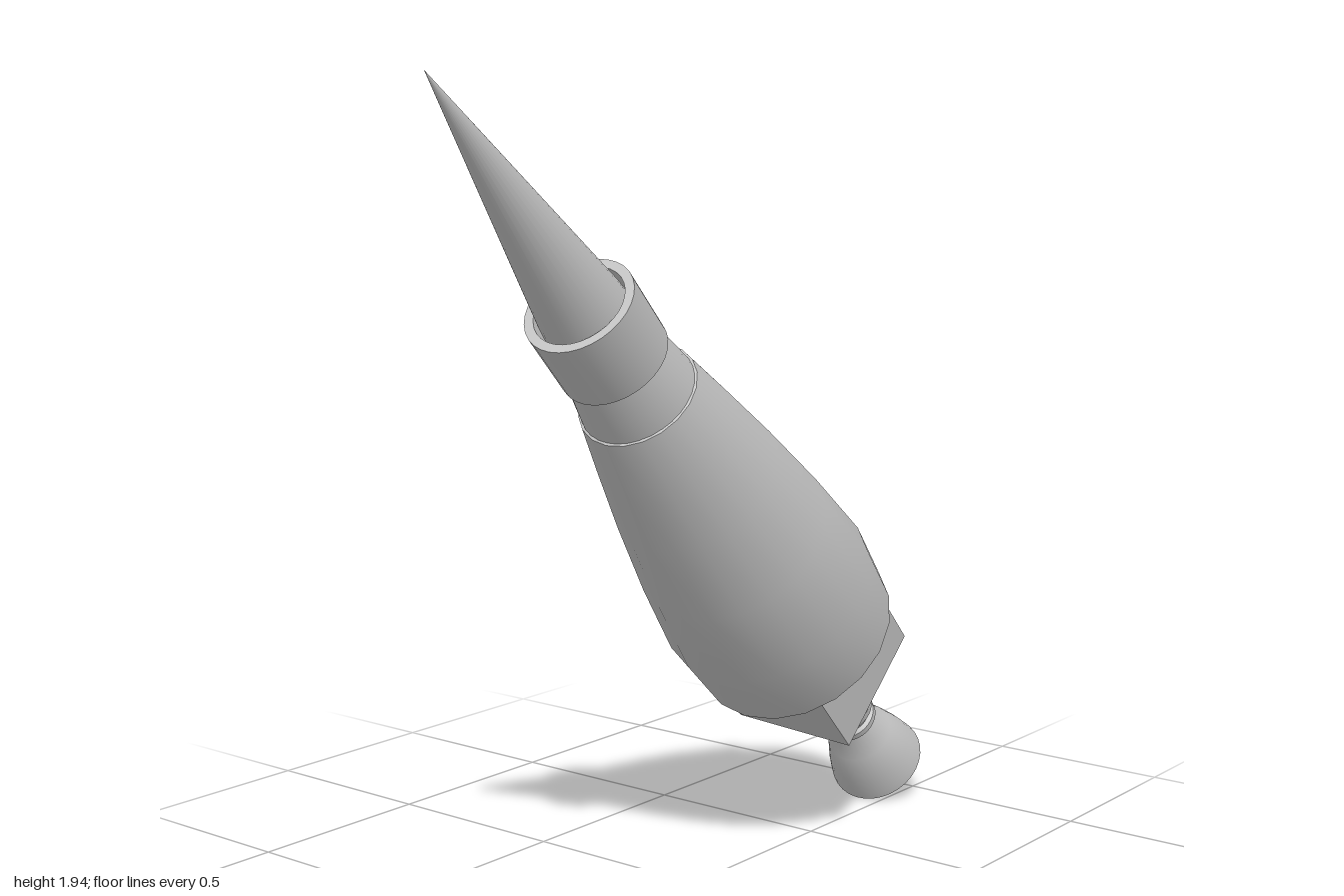
import * as THREE from 'three';
import { toCreasedNormals } from 'three/addons/utils/BufferGeometryUtils.js';

export function createModel() {
  const model = new THREE.Group();
  model.name = 'rocket';
  const grey = new THREE.MeshStandardMaterial({ color: 0xc4c4c4 });
  grey.name = 'light grey';

  // The rocket is built upright along y, then tilted from engine to tip.
  const add = (name, geo) => {
    const mesh = new THREE.Mesh(geo, grey);
    mesh.name = name;
    model.add(mesh);
    return mesh;
  };
  const turned = (name, profile, sides = 32, crease = 0.5) =>
    add(name, toCreasedNormals(
      new THREE.LatheGeometry(profile.map(([r, y]) => new THREE.Vector2(r, y)), sides), crease));

  // Hollow engine bell: inside wall down to the lip, then outside wall up
  turned('engineBell', [
    [0, 0.2], [0.045, 0.19], [0.075, 0.15], [0.104, 0.07], [0.121, 0],
    [0.13, 0], [0.126, 0.02], [0.114, 0.07], [0.09, 0.145], [0.06, 0.2], [0.058, 0.215],
  ]);

  // Engine neck with stacked rings
  turned('engineNeck', [
    [0.055, 0.195], [0.064, 0.21], [0.074, 0.222], [0.074, 0.24], [0.064, 0.247],
    [0.066, 0.265], [0.082, 0.275], [0.084, 0.295], [0.078, 0.302], [0.09, 0.36], [0.092, 0.41],
  ]);

  // Small wedge-shaped housing on the upper side of the neck
  const wedge = new THREE.Shape([
    [0.05, 0.285], [0.107, 0.322], [0.135, 0.35], [0.13, 0.38], [0.104, 0.405], [0.05, 0.405],
  ].map(([x, y]) => new THREE.Vector2(x, y)));
  const housing = new THREE.ExtrudeGeometry(wedge, { depth: 0.09, bevelEnabled: false });
  housing.translate(0, 0, -0.045).rotateY(Math.PI / 2);
  add('neckHousing', housing);

  // Square engine block, its rear edge chamfered
  const block = new THREE.BoxGeometry(0.344, 0.276, 0.344, 1, 2, 1);
  const p = block.attributes.position;
  for (let i = 0; i < p.count; i++) {
    const y = p.getY(i);
    if (y < -0.1) {
      p.setX(i, Math.sign(p.getX(i)) * 0.137);
      p.setZ(i, Math.sign(p.getZ(i)) * 0.137);
    } else if (y < 0.1) p.setY(i, -0.1);
  }
  block.translate(0, 0.542, 0);
  add('engineBlock', toCreasedNormals(block, 0.3));

  // Main hull, tapering towards the neck
  turned('hull', [
    [0, 0.673], [0.268, 0.673], [0.279, 0.866], [0.25, 1.1], [0.212, 1.33],
    [0.175, 1.52], [0.147, 1.656], [0.14, 1.658],
  ], 20);
  turned('hullNeck', [[0.142, 1.65], [0.132, 1.715], [0.119, 1.79]]);

  // Hollow collar with a flat rim
  turned('collar', [
    [0.1, 1.784], [0.131, 1.784], [0.131, 1.966], [0.109, 1.966], [0.109, 1.9], [0, 1.9],
  ]);

  // Pointed nose
  turned('noseCone', [[0.106, 1.9], [0.1, 1.966], [0, 2.662]]);

  // Tilt the whole rocket
  const tail = new THREE.Vector3(-0.065, 0.099, -0.908);
  const tip = new THREE.Vector3(0.13, 1.954, 1.0);
  model.quaternion.setFromUnitVectors(
    new THREE.Vector3(0, 1, 0), tip.clone().sub(tail).normalize());
  model.position.copy(tail);

  const root = new THREE.Group();
  root.name = 'tiltedRocket';
  root.add(model);
  return root;
}
